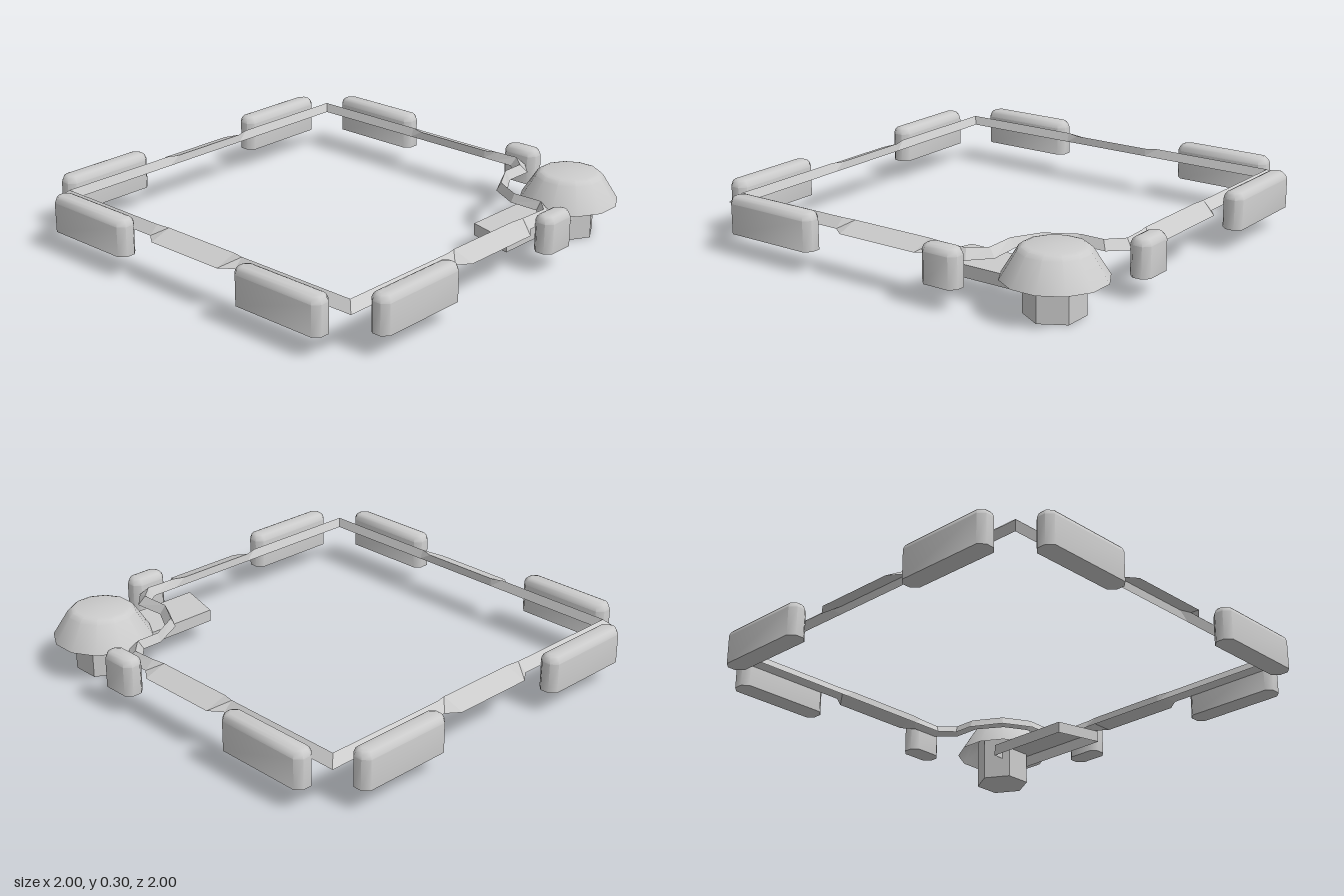
import * as THREE from 'three';
import { toCreasedNormals } from 'three/addons/utils/BufferGeometryUtils.js';

const smooth = new THREE.MeshStandardMaterial({ color: 0xcccccc, side: THREE.DoubleSide });
const flat = new THREE.MeshStandardMaterial({ color: 0xcccccc, side: THREE.DoubleSide, flatShading: true });

// Skins closed rings of [x, y, z], counter-clockwise from above, with optional fan caps
function loft(rings, capBottom, capTop) {
  const n = rings[0].length, index = [];
  for (let r = 0; r < rings.length - 1; r++) {
    for (let j = 0; j < n; j++) {
      const k = (j + 1) % n;
      const a = r * n + j, b = r * n + k, c = a + n, d = b + n;
      index.push(a, b, d, a, d, c);
    }
  }
  const top = (rings.length - 1) * n;
  for (let j = 1; j < n - 1; j++) {
    if (capBottom) index.push(0, j + 1, j);
    if (capTop) index.push(top, top + j, top + j + 1);
  }
  const geo = new THREE.BufferGeometry();
  geo.setAttribute('position', new THREE.Float32BufferAttribute(rings.flat(2), 3));
  geo.setIndex(index);
  geo.computeVertexNormals();
  return geo;
}

function part(parent, name, geo, mat) {
  const mesh = new THREE.Mesh(geo, mat);
  mesh.name = name;
  parent.add(mesh);
  return mesh;
}

// Long block with chamfered ends and a rounded top, lying along x
function blockGeometry(length) {
  const outline = (inset, y) => {
    const l = length / 2 - inset, w = 0.049 - inset, c = 0.028 - inset * 0.4;
    return [[l, w - c], [l, c - w], [l - c, -w], [c - l, -w], [-l, c - w], [-l, w - c], [c - l, w], [l - c, w]]
      .map(([x, z]) => [x, y, z]);
  };
  const layers = [[0, 0.1], [0, 0.238], [0.006, 0.255], [0.015, 0.265], [0.027, 0.27]];
  return toCreasedNormals(loft(layers.map(([i, y]) => outline(i, y)), true, true), 0.8);
}

// Ridged border: outer foot, crest and inner foot, widened mid-side
function borderGeometry() {
  const outer = [], crest = [], inner = [];
  const addSide = (k, withCorner) => {
    const at = (d, t, y) => {
      const c = Math.cos(k * Math.PI / 2), s = Math.sin(k * Math.PI / 2);
      return [d * c - t * s, y, -(d * s + t * c)];
    };
    const stations = [[-0.26, 0], [-0.2, 1], [0.2, 1], [0.26, 0]];
    if (withCorner) {
      outer.push(at(0.9, -0.9, 0.2));
      crest.push(at(0.857, -0.857, 0.24));
      inner.push(at(0.838, -0.838, 0.2));
    }
    for (const [t, wide] of stations) {
      outer.push(at(wide ? 0.945 : 0.9, t, 0.2));
      crest.push(at(wide ? 0.843 : 0.857, t, wide ? 0.236 : 0.24));
      inner.push(at(0.838, t, 0.2));
    }
  };
  addSide(0, true);
  // winding path that cuts off the back left corner: outer x, z, inner x, z
  const detour = [
    [0.9, -0.43, 0.838, -0.39], [0.81, -0.51, 0.79, -0.455], [0.66, -0.5, 0.65, -0.455],
    [0.55, -0.56, 0.51, -0.53], [0.475, -0.68, 0.43, -0.68], [0.475, -0.82, 0.43, -0.775],
    [0.4, -0.9, 0.36, -0.838],
  ];
  for (const [ox, oz, ix, iz] of detour) {
    outer.push([ox, 0.2, oz]);
    crest.push([ox + (ix - ox) * 0.6, 0.24, oz + (iz - oz) * 0.6]);
    inner.push([ix, 0.2, iz]);
  }
  addSide(1, false);
  addSide(2, true);
  addSide(3, true);
  return loft([outer, crest, inner]);
}

export function createModel() {
  const model = new THREE.Group();
  model.name = 'borderedPlot';

  part(model, 'border', borderGeometry(), flat);

  // Edge blocks: x, z, length, runs along z
  const blocks = [
    [-0.573, 0.95, 0.476, false], [0.573, 0.95, 0.476, false],
    [-0.573, -0.95, 0.476, false], [0.35, -0.95, 0.18, false],
    [-0.95, -0.577, 0.476, true], [-0.95, 0.572, 0.476, true],
    [0.95, 0.572, 0.476, true], [0.95, -0.355, 0.18, true],
  ];
  const edging = new THREE.Group();
  edging.name = 'edgeBlocks';
  model.add(edging);
  for (const [x, z, length, turned] of blocks) {
    const block = part(edging, 'edgeBlock', blockGeometry(length), smooth);
    block.position.set(x, 0, z);
    if (turned) block.rotation.y = Math.PI / 2;
  }

  // Corner post: hexagonal stem under a hollow twelve-sided cap
  const post = new THREE.Group();
  post.name = 'cornerPost';
  post.position.set(0.75, 0, -0.762);
  model.add(post);
  const stem = part(post, 'stem', new THREE.CylinderGeometry(0.13, 0.13, 0.24, 6), flat);
  stem.position.y = 0.12;
  stem.rotation.y = Math.PI / 6;
  const profile = [[0.228, 0.158], [0.155, 0.275], [0.138, 0.29], [0.12, 0.296], [0, 0.297]]
    .map(([r, y]) => new THREE.Vector2(r, y));
  const cap = part(post, 'cap', toCreasedNormals(new THREE.LatheGeometry(profile, 12), 0.45), smooth);
  cap.rotation.y = Math.PI / 12;

  // Hollow ledge reaching from the post under the border
  const ledge = [[0.835, -0.18], [0.835, -0.68], [0.61, -0.68], [0.61, -0.24]];
  const ledgeRings = [0.097, 0.153].map((y) => ledge.map(([x, z]) => [x, y, z]));
  part(model, 'ledge', loft(ledgeRings, false, true), flat);

  return model;
}
